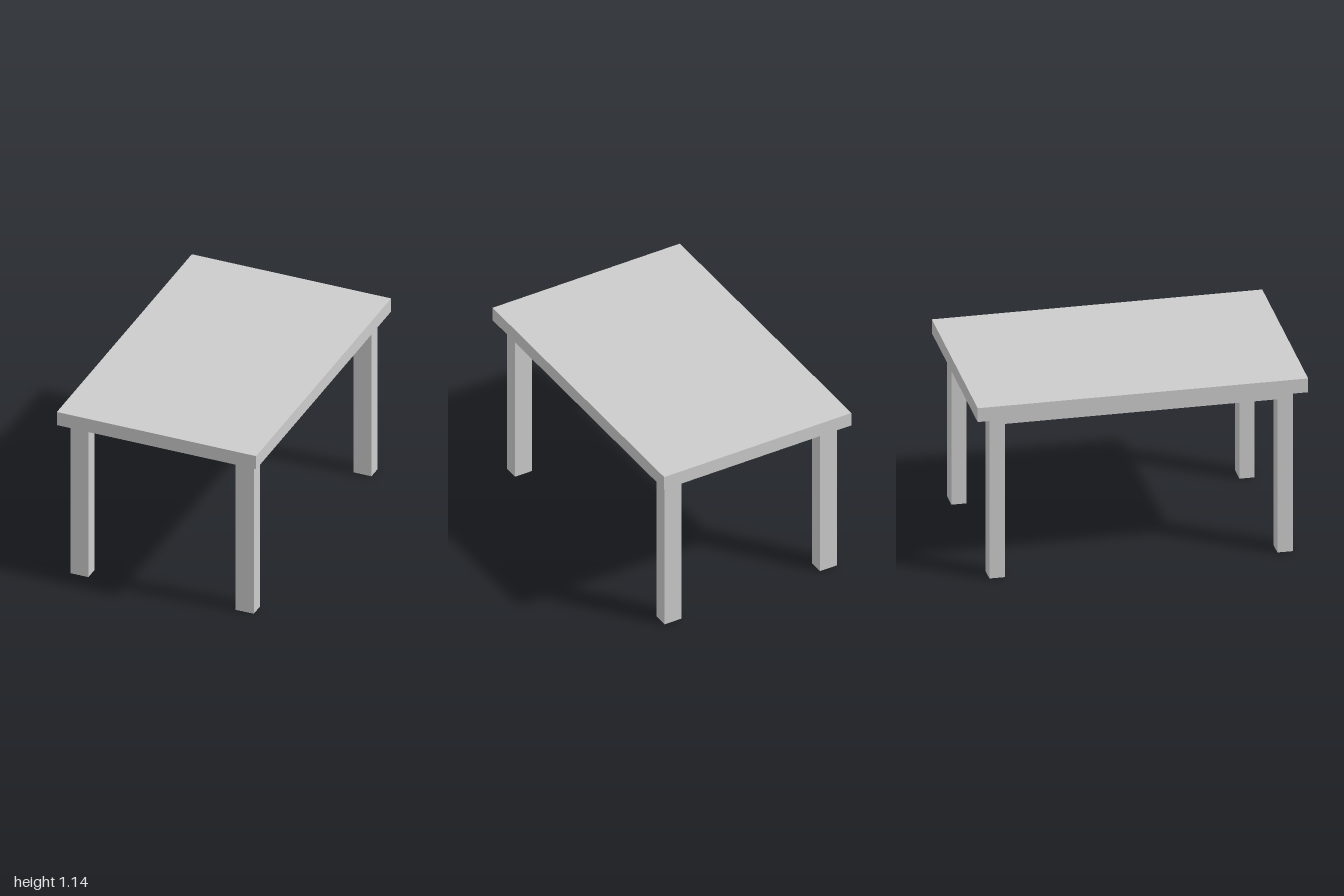
import * as THREE from 'three';

const material = new THREE.MeshStandardMaterial({ color: 0xcccccc, flatShading: true });

// Box given by its size, centre and the height of its underside
function box(name, w, h, d, x, bottom, z) {
  const mesh = new THREE.Mesh(new THREE.BoxGeometry(w, h, d), material);
  mesh.name = name;
  mesh.position.set(x, bottom + h / 2, z);
  return mesh;
}

export function createModel() {
  const table = new THREE.Group();
  table.name = 'table';

  // Overhanging top and the solid slab beneath it
  table.add(box('tableTop', 1.286, 0.09, 2, 0, 1.05, 0));
  table.add(box('apron', 1.184, 0.052, 1.836, 0, 0.998, 0));

  // Four square-cornered legs, flush with the apron's outer corners
  const legWidth = 0.117, legDepth = 0.093;
  for (const [xName, sx] of [['Left', 1], ['Right', -1]]) {
    for (const [zName, sz] of [['front', 1], ['back', -1]]) {
      const x = sx * (0.592 - legWidth / 2);
      const z = sz * (0.918 - legDepth / 2);
      table.add(box(`${zName}${xName}Leg`, legWidth, 0.998, legDepth, x, 0, z));
    }
  }
  return table;
}
